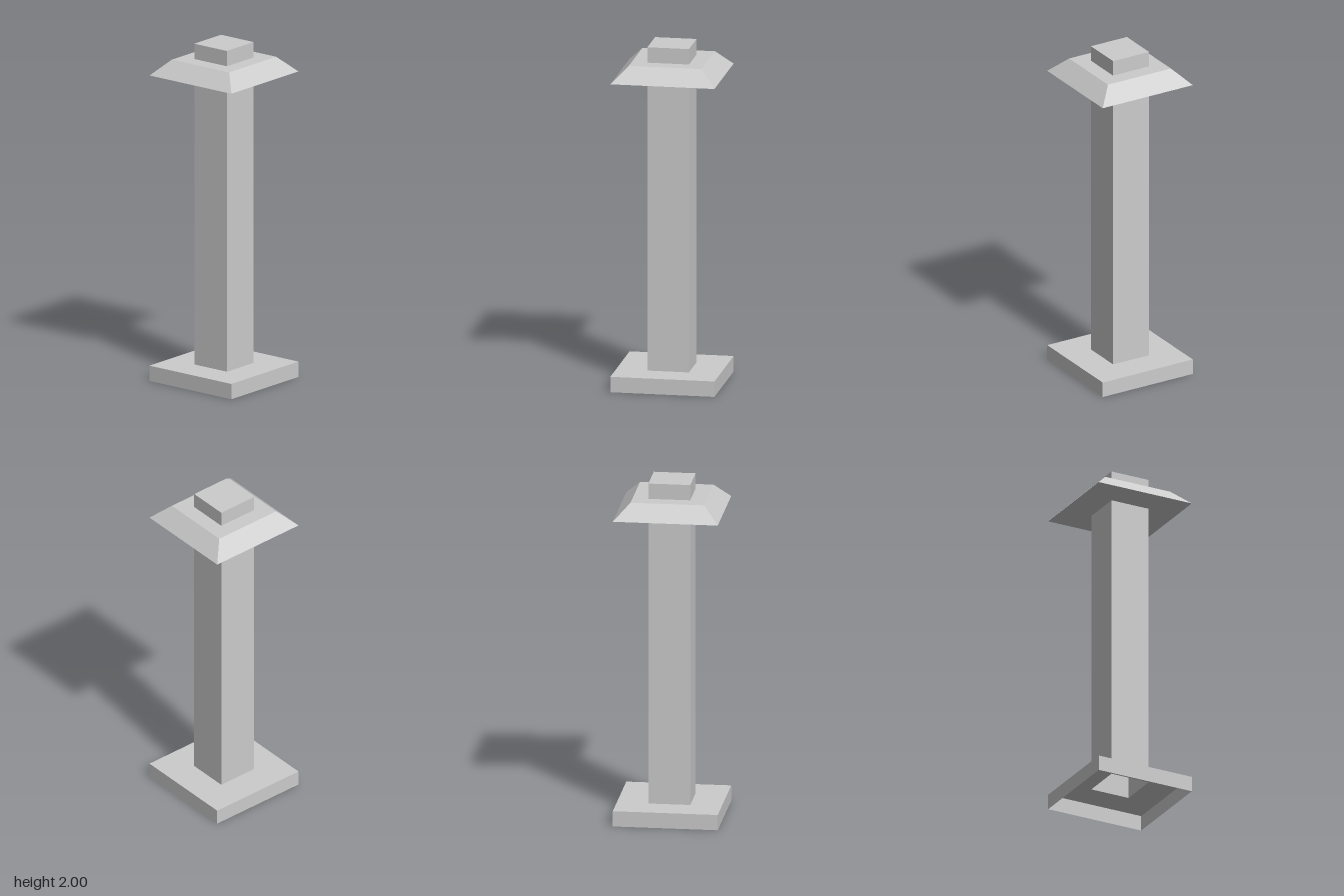
import * as THREE from 'three';

const BASE = 0.303;   // half width of plinth and cap eaves
const SHAFT = 0.121;  // half width of the square shaft
const CAP = 0.212;    // half width of the cap's flat top
const STEP = 0.091;   // height of plinth, cap and top block

const material = new THREE.MeshStandardMaterial({
  color: 0xcccccc, flatShading: true, side: THREE.DoubleSide,
});

// Square shell swept from a profile of [half width, height], listed bottom to top
function squareShell(name, profile) {
  const points = profile.map(([half, y]) => new THREE.Vector2(half * Math.SQRT2, y));
  const geometry = new THREE.LatheGeometry(points, 4, Math.PI / 4);
  const mesh = new THREE.Mesh(geometry, material);
  mesh.name = name;
  return mesh;
}

export function createModel() {
  const group = new THREE.Group();
  group.name = 'pillar';
  const capBottom = 2 - 2 * STEP, capTop = 2 - STEP;

  group.add(
    // Hollow plinth, open below, with a square opening into the shaft
    squareShell('plinth', [[BASE, 0], [BASE, STEP], [SHAFT, STEP]]),
    // Hollow shaft
    squareShell('shaft', [[SHAFT, STEP], [SHAFT, capBottom]]),
    // Overhanging cap with a flat underside and sloping sides
    squareShell('cap', [[SHAFT, capBottom], [BASE, capBottom], [CAP, capTop], [SHAFT, capTop]]),
    // Closed block on top
    squareShell('topBlock', [[SHAFT, capTop], [SHAFT, 2], [0, 2]]),
  );
  return group;
}
